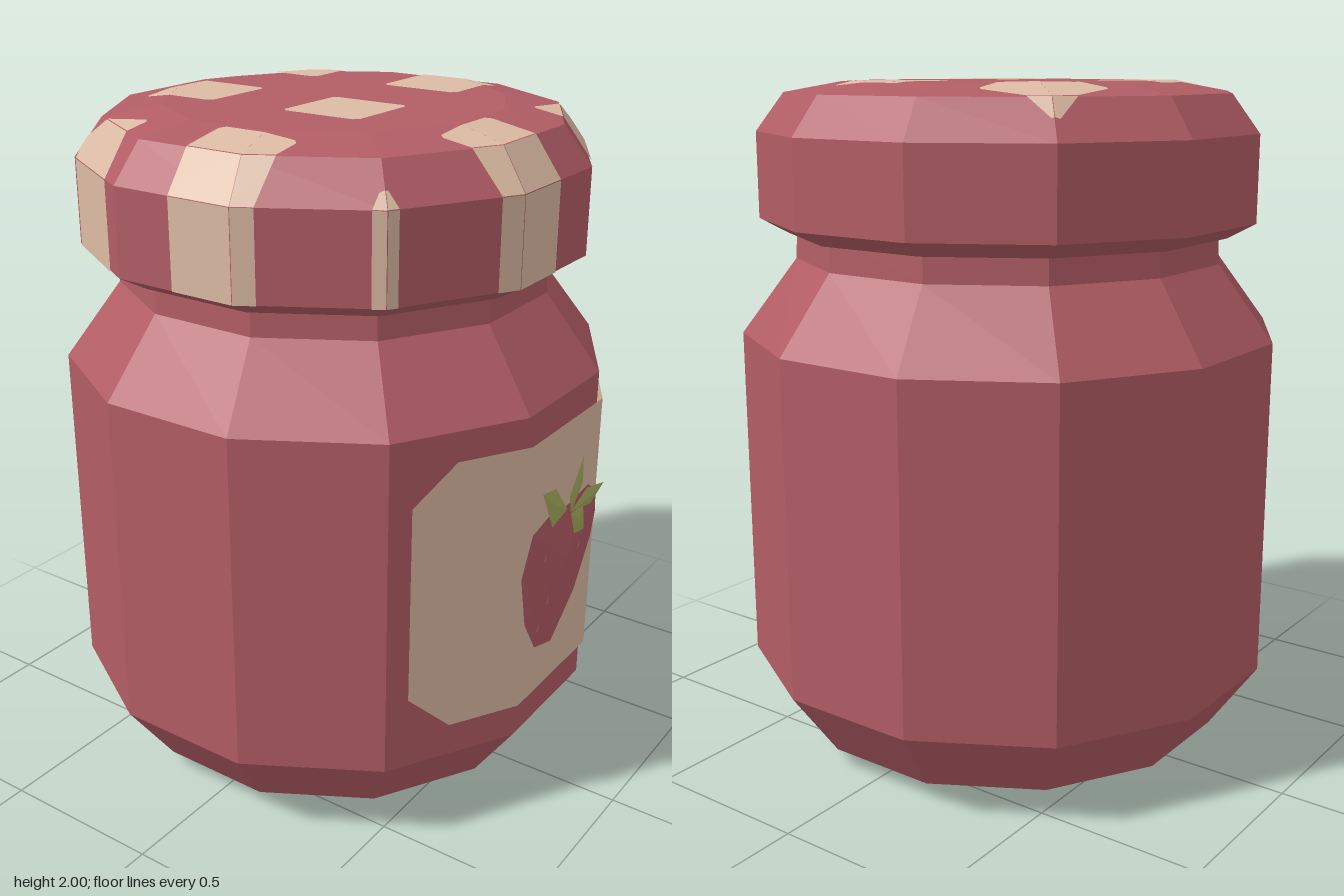
import * as THREE from 'three';

const SIDES = 12;
const STEP = (Math.PI * 2) / SIDES;
const CZ = -0.025; // jar axis sits slightly behind the centre, the badge in front
const COS = Math.cos(STEP / 2);

const mat = (name, color, side = THREE.FrontSide) => {
  const m = new THREE.MeshStandardMaterial({ color, flatShading: true, side });
  m.name = name;
  return m;
};

// Geometry from a list of triangles, each made of three Vector3
function fromTriangles(tris) {
  const g = new THREE.BufferGeometry().setFromPoints(tris.flat());
  g.computeVertexNormals();
  return g;
}

function fan(points) {
  const tris = [];
  for (let i = 1; i < points.length - 1; i++) tris.push([points[0], points[i], points[i + 1]]);
  return tris;
}

// Twelve-sided turned shape; profile is [distance to flat side, height]
function turned(profile) {
  const pts = profile.map(([a, y]) => new THREE.Vector2(a / COS, y));
  const g = new THREE.LatheGeometry(pts, SIDES, STEP / 2).toNonIndexed();
  g.computeVertexNormals();
  return g.translate(0, 0, CZ);
}

// Keep the part of a convex polygon where nx*x + nz*z <= d
function clip(poly, [nx, nz, d]) {
  const out = [];
  poly.forEach((p, i) => {
    const q = poly[(i + 1) % poly.length];
    const dp = nx * p.x + nz * p.z - d, dq = nx * q.x + nz * q.z - d;
    if (dp <= 0) out.push(p);
    if (dp * dq < 0) out.push(p.clone().lerp(q, dp / (dp - dq)));
  });
  return out;
}

// Gingham squares, projected downwards onto the lid
function checks(profile) {
  const tris = [];
  const at = ([a, y], i) => new THREE.Vector3(
    (a / COS) * Math.sin((i + 0.5) * STEP), y, (a / COS) * Math.cos((i + 0.5) * STEP) + CZ);
  const h = 0.125, corner = 2 * h - 0.015;
  for (let s = 0; s < profile.length - 1; s++) for (let i = 0; i < SIDES; i++) {
    const face = [at(profile[s], i), at(profile[s], i + 1), at(profile[s + 1], i + 1), at(profile[s + 1], i)];
    const lift = face[1].clone().sub(face[0]).cross(face[2].clone().sub(face[0])).normalize().multiplyScalar(0.004);
    for (const cx of [-0.625, -0.125, 0.375]) for (const cz of [-0.405, 0.095, 0.595]) {
      let poly = face;
      for (const sx of [-1, 0, 1]) for (const sz of [-1, 0, 1]) {
        if (!sx && !sz) continue;
        poly = clip(poly, [sx, sz, sx * cx + sz * cz + (sx && sz ? corner : h)]);
      }
      if (poly.length > 2) tris.push(...fan(poly.map((p) => p.clone().add(lift))));
    }
  }
  return fromTriangles(tris);
}

// Outline with a raised middle, like a cut gem
function gem(outline, centre, rimZ, peakZ) {
  const peak = new THREE.Vector3(...centre, peakZ);
  const rim = outline.map(([x, y]) => new THREE.Vector3(x, y, rimZ));
  // outlines run clockwise, so reverse the winding
  return fromTriangles(rim.map((p, i) => [peak, rim[(i + 1) % rim.length], p]));
}

// Label folded over the three front sides of the jar
function label() {
  const fold = 0.213;
  const bend = (x, y) => new THREE.Vector3(x, y, 0.77 - Math.max(0, Math.abs(x) - fold) * Math.tan(STEP));
  const side = (m) => [[fold, 0.37], [0.41, 0.37], [0.525, 0.49], [0.525, 1.08], [0.41, 1.19], [fold, 1.19]]
    .map(([x, y]) => bend(m * x, y));
  return fromTriangles([
    ...fan(side(1)),
    ...fan(side(-1).reverse()),
    ...fan([bend(-fold, 0.37), bend(fold, 0.37), bend(fold, 1.19), bend(-fold, 1.19)]),
  ]);
}

export function createModel() {
  const red = mat('jam red', 0xb25d65);
  const cream = mat('cream', 0xdcbba4);
  const labelCream = mat('label cream', 0xdcbba4, THREE.DoubleSide);
  const berryRed = mat('strawberry red', 0xb25b64, THREE.DoubleSide);
  const green = mat('leaf green', 0xa6ad5f, THREE.DoubleSide);

  const model = new THREE.Group();
  model.name = 'jamJar';
  const add = (name, geometry, material, parent = model) => {
    const mesh = new THREE.Mesh(geometry, material);
    mesh.name = name;
    parent.add(mesh);
  };

  // Jar
  add('jarBody', turned([[0, 0], [0.52, 0], [0.64, 0.055], [0.78, 0.26], [0.78, 1.27],
    [0.62, 1.49], [0.615, 1.6]]), red);

  // Lid and its checked cloth pattern
  const lidTop = [[0.72, 1.61], [0.72, 1.86], [0.64, 1.97], [0.48, 2], [0, 2]];
  add('lid', turned([[0.58, 1.565], [0.64, 1.565], ...lidTop]), red);
  add('lidChecks', checks(lidTop), cream);

  // Label
  add('label', label(), labelCream);

  // Strawberry badge
  const badge = new THREE.Group();
  badge.name = 'strawberry';
  model.add(badge);
  add('berry', gem([[-0.245, 0.8], [-0.19, 0.915], [-0.1, 0.935], [0.01, 0.925], [0.15, 0.94], [0.205, 0.9],
    [0.213, 0.83], [0.19, 0.75], [0.1, 0.61], [-0.035, 0.5], [-0.14, 0.53], [-0.21, 0.64]],
  [0, 0.76], 0.774, 0.793), berryRed, badge);

  // Leaves
  [
    [[-0.175, 1.04], [-0.095, 1.025], [-0.015, 0.93], [-0.105, 0.91]],
    [[-0.005, 0.965], [0.07, 1.065], [0.075, 0.98], [0.01, 0.907]],
    [[0.01, 0.912], [0.106, 0.95], [0.223, 0.923], [0.138, 0.886]],
    [[0.01, 0.907], [0.09, 0.9], [0.106, 0.817], [0.042, 0.828]],
  ].forEach((leaf) => {
    const mid = [0, 1].map((k) => leaf.reduce((sum, p) => sum + p[k], 0) / leaf.length);
    add('leaf', gem(leaf, mid, 0.79, 0.797), green, badge);
  });

  // Seeds
  for (const [x, y] of [[-0.133, 0.817], [0.08, 0.77], [-0.1, 0.668], [-0.154, 0.6]]) {
    add('seed', gem([[x - 0.012, y - 0.005], [x + 0.004, y + 0.018], [x + 0.012, y + 0.005], [x - 0.004, y - 0.018]],
      [x, y], 0.788, 0.792), berryRed, badge);
  }
  return model;
}
